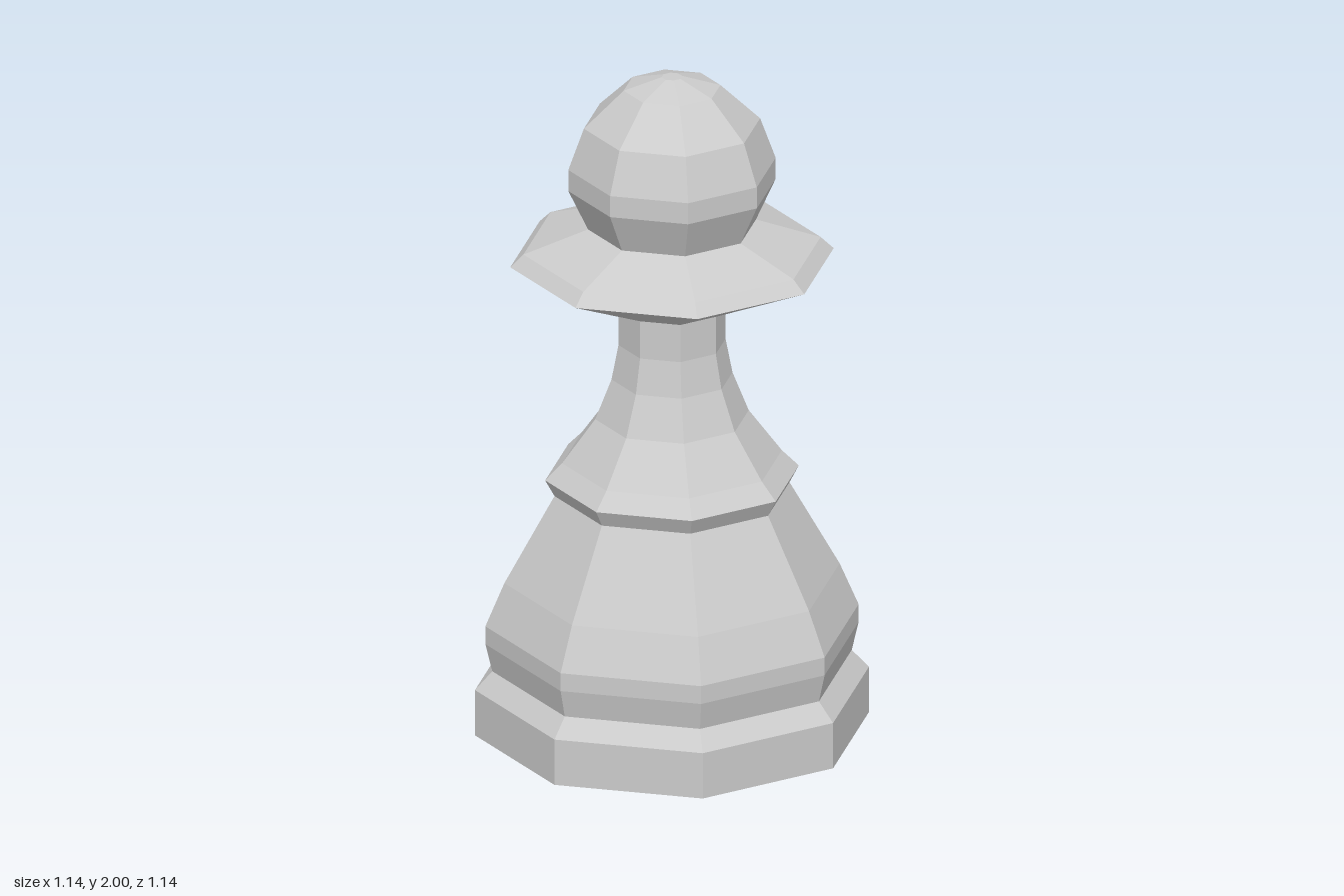
import * as THREE from 'three';

const SIDES = 8;

// Turned parts as [radius, height] profiles, bottom to top; neighbours share a rim.
const PARTS = {
  base: [[0, 0], [0.57, 0], [0.57, 0.14], [0.52, 0.195]],
  lowerBody: [[0.52, 0.195], [0.54, 0.28], [0.54, 0.335], [0.485, 0.465], [0.34, 0.725]],
  waistRing: [[0.34, 0.725], [0.367, 0.775], [0.318, 0.825]],
  neck: [[0.318, 0.825], [0.222, 0.955], [0.175, 1.075], [0.155, 1.18], [0.155, 1.295]],
  collar: [[0.155, 1.295], [0.468, 1.44], [0.43, 1.477], [0.243, 1.543]],
  head: [[0.243, 1.543], [0.3, 1.665], [0.3, 1.73], [0.255, 1.855], [0.14, 1.965], [0.03, 2], [0, 2]],
};

export function createModel() {
  const pawn = new THREE.Group();
  pawn.name = 'pawn';
  const material = new THREE.MeshStandardMaterial({ color: 0xcccccc, flatShading: true });

  for (const [name, profile] of Object.entries(PARTS)) {
    const points = profile.map(([r, y]) => new THREE.Vector2(r, y));
    const mesh = new THREE.Mesh(new THREE.LatheGeometry(points, SIDES), material);
    mesh.name = name;
    pawn.add(mesh);
  }
  return pawn;
}
